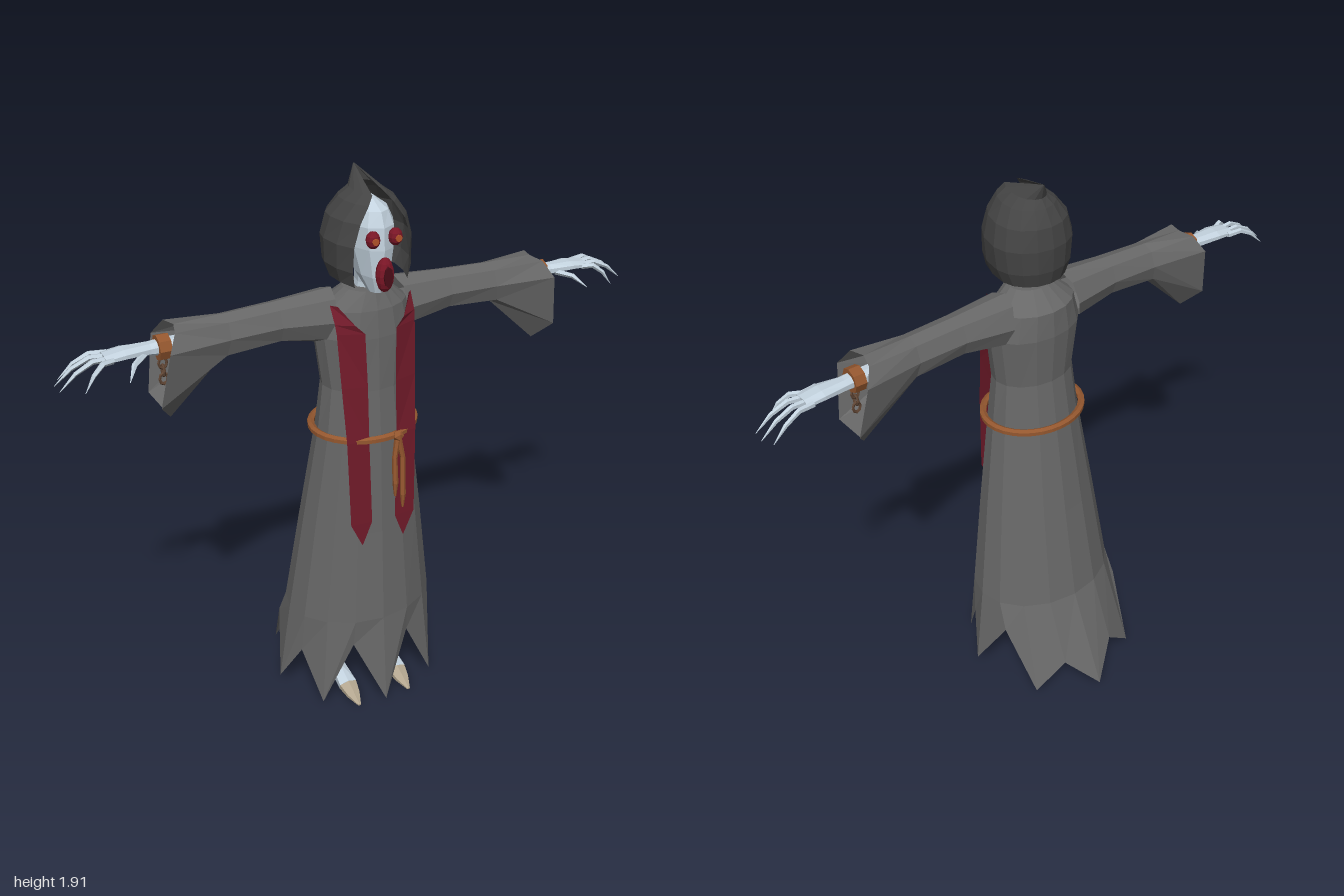
import * as THREE from 'three';

const mat = (name, color, double = false) => {
  const m = new THREE.MeshStandardMaterial({ color, flatShading: true, side: double ? THREE.DoubleSide : THREE.FrontSide });
  m.name = name;
  return m;
};
const V = (x, y, z) => new THREE.Vector3(x, y, z);

// Skin quads between successive rings of points; optional end caps
function loft(rings, { closed = true, capStart = false, capEnd = false } = {}) {
  const pos = [], n = rings[0].length;
  const tri = (...pts) => pts.forEach(p => pos.push(p.x, p.y, p.z));
  for (let i = 0; i < rings.length - 1; i++) {
    for (let j = 0; j < (closed ? n : n - 1); j++) {
      const k = (j + 1) % n;
      const a = rings[i][j], b = rings[i][k], c = rings[i + 1][k], d = rings[i + 1][j];
      tri(a, b, c);
      tri(a, c, d);
    }
  }
  const cap = (r, flip) => {
    const m = r.reduce((s, p) => s.add(p), V(0, 0, 0)).divideScalar(n);
    for (let j = 0; j < n; j++) {
      const k = (j + 1) % n;
      flip ? tri(m, r[k], r[j]) : tri(m, r[j], r[k]);
    }
  };
  if (capStart) cap(rings[0], true);
  if (capEnd) cap(rings[rings.length - 1], false);
  const g = new THREE.BufferGeometry();
  g.setAttribute('position', new THREE.Float32BufferAttribute(pos, 3));
  g.computeVertexNormals();
  return g;
}

// Horizontal oval ring with separate front and back depth
const oval = (n, y, rx, cz, front, back, yAt) => Array.from({ length: n }, (_, j) => {
  const t = j / n * Math.PI * 2, c = Math.cos(t);
  return V(rx * Math.sin(t), yAt ? yAt(j) : y, cz + c * (c > 0 ? front - cz : cz - back));
});

// Tapered tube along sections [x, y, z, width radius, height radius]
function limb(sections, n = 6) {
  const pts = sections.map(s => V(s[0], s[1], s[2]));
  return loft(sections.map((s, i) => {
    const d = pts[Math.min(i + 1, pts.length - 1)].clone().sub(pts[Math.max(i - 1, 0)]).normalize();
    const u = (Math.abs(d.y) > 0.8 ? V(0, 0, 1) : V(0, 1, 0)).cross(d).normalize();
    const v = d.clone().cross(u);
    return Array.from({ length: n }, (_, j) => {
      const t = (j + 0.5) / n * Math.PI * 2;
      return pts[i].clone().addScaledVector(u, s[3] * Math.cos(t)).addScaledVector(v, (s[4] ?? s[3]) * Math.sin(t));
    });
  }), { capStart: true, capEnd: true });
}

export function createModel() {
  const model = new THREE.Group();
  model.name = 'robedFigure';
  const robeGrey = mat('robe grey', 0x676767, true);
  const hoodGrey = mat('hood grey', 0x444444, true);
  const bone = mat('pale bone', 0xc3d2de);
  const nail = mat('toe tan', 0xb3a68f);
  const clothRed = mat('cloth red', 0x701a29, true);
  const maskRed = mat('mask red', 0x7a1626);
  const darkRed = mat('dark red', 0x4a0d18);
  const eyeOrange = mat('eye orange', 0xb5522a);
  const leather = mat('leather brown', 0x94572f);
  const iron = mat('chain brown', 0x5e4433);

  const add = (parent, name, geo, material, x = 0, y = 0, z = 0) => {
    const m = new THREE.Mesh(geo, material);
    m.name = name;
    m.position.set(x, y, z);
    parent.add(m);
    return m;
  };

  // Robe with a ragged hem of eight points
  const hem = j => j % 2 === 0 ? [0.01, 0.02, 0.045, 0.02, 0.01][Math.min(j, 16 - j) / 2]
    : [0.25, 0.2, 0.25, 0.12][(Math.min(j, 16 - j) - 1) / 2];
  const hemRing = oval(16, 0, 0.305, 0.05, 0.3, -0.305, hem);
  hemRing.forEach((p, j) => {
    if (j % 2) { p.x *= 0.9; p.z = 0.05 + (p.z - 0.05) * 0.85; }
  });
  add(model, 'robe', loft([
    hemRing,
    oval(16, 0.35, 0.265, 0.06, 0.27, -0.15),
    oval(16, 0.7, 0.218, 0.08, 0.25, -0.09),
    oval(16, 1.06, 0.165, 0.1, 0.232, -0.035),
    oval(16, 1.22, 0.147, 0.1, 0.217, -0.012),
    oval(16, 1.4, 0.17, 0.095, 0.21, -0.025),
    oval(16, 1.49, 0.145, 0.095, 0.2, -0.02),
    oval(16, 1.55, 0.075, 0.11, 0.18, 0.045),
  ], { capEnd: true }), robeGrey);

  // Rope belt and its hanging ends
  const beltPath = new THREE.CatmullRomCurve3(oval(16, 1.06, 0.178, 0.1, 0.25, -0.052), true);
  add(model, 'belt', new THREE.TubeGeometry(beltPath, 32, 0.013, 6, true), leather);
  for (const [x, end] of [[0.037, 0.84], [0.066, 0.79]]) {
    add(model, 'ropeEnd', limb([[0.05, 1.06, 0.255, 0.011], [x, 0.98, 0.26, 0.009],
      [x, end + 0.05, 0.268, 0.01], [x, end, 0.268, 0.004]]), leather);
  }
  add(model, 'beltKnot', new THREE.IcosahedronGeometry(0.02), leather, 0.05, 1.06, 0.255);

  // Hood: rows sweep round the back, leaving the face open and a peak behind
  const hoodRow = (y, rx, cz, front, back, open) => Array.from({ length: 13 }, (_, j) => {
    const t = (j / 6 - 1) * open * Math.PI / 180, c = Math.cos(t);
    return V(-rx * Math.sin(t), y, c > 0 ? cz - (cz - back) * c
      : cz + (front - cz) * c / Math.cos(open * Math.PI / 180));
  });
  add(model, 'hood', loft([
    hoodRow(1.59, 0.115, 0.1, 0.22, -0.005, 128),
    hoodRow(1.64, 0.134, 0.1, 0.225, -0.018, 132),
    hoodRow(1.72, 0.14, 0.1, 0.228, -0.022, 136),
    hoodRow(1.79, 0.122, 0.1, 0.225, -0.01, 142),
    hoodRow(1.84, 0.085, 0.11, 0.215, 0.02, 150),
    hoodRow(1.865, 0.05, 0.11, 0.2, 0.04, 152),
    hoodRow(1.915, 0.002, 0.03, 0.032, 0.028, 170),
  ], { closed: false }), hoodGrey);

  // Skull and neck
  add(model, 'skull', loft([
    oval(10, 1.555, 0.025, 0.18, 0.215, 0.15),
    oval(10, 1.61, 0.05, 0.15, 0.235, 0.09),
    oval(10, 1.7, 0.07, 0.13, 0.24, 0.05),
    oval(10, 1.77, 0.075, 0.12, 0.235, 0.04),
    oval(10, 1.815, 0.055, 0.12, 0.215, 0.06),
    oval(10, 1.84, 0.02, 0.12, 0.16, 0.09),
  ], { capStart: true, capEnd: true }), bone);
  add(model, 'neck', limb([[0, 1.5, 0.1, 0.045], [0, 1.57, 0.115, 0.036], [0, 1.66, 0.13, 0.045]], 8), bone);

  // Mouth
  const mouth = add(model, 'mouth', new THREE.SphereGeometry(1, 10, 8), maskRed, 0, 1.625, 0.242);
  mouth.scale.set(0.03, 0.056, 0.026);
  const mouthHole = add(model, 'mouthOpening', new THREE.CylinderGeometry(1, 1, 0.008, 8), darkRed, 0, 1.625, 0.265);
  mouthHole.rotation.x = Math.PI / 2;
  mouthHole.scale.set(0.015, 1, 0.034);

  const ringTilt = Math.PI / 2;
  for (const s of [1, -1]) {
    const side = new THREE.Group();
    side.name = s > 0 ? 'leftSide' : 'rightSide';
    side.scale.x = s;
    model.add(side);

    // Eye
    const eye = add(side, 'eyeSocket', new THREE.SphereGeometry(1, 10, 6), maskRed, 0.038, 1.74, 0.235);
    eye.scale.set(0.023, 0.028, 0.022);
    add(side, 'eye', new THREE.CylinderGeometry(0.011, 0.011, 0.008, 8), eyeOrange, 0.039, 1.74, 0.254).rotation.x = ringTilt;

    // Hanging stole: rows of [y, inner x, outer x, inner z, outer z]
    add(side, 'stole', loft([
      [0.67, 0.076, 0.078, 0.256, 0.256], [0.755, 0.043, 0.118, 0.258, 0.252], [1.06, 0.05, 0.125, 0.246, 0.236],
      [1.25, 0.05, 0.132, 0.233, 0.212], [1.43, 0.055, 0.138, 0.222, 0.19], [1.46, 0.085, 0.14, 0.214, 0.182],
      [1.515, 0.125, 0.142, 0.17, 0.15],
    ].map(([y, xi, xo, zi, zo]) => [V(xi, y, zi), V(xo, y, zo)]), { closed: false }), clothRed);

    // Sleeve: half sections [x, y, z offset] from top to bottom, drooping at the cuff
    const sleeve = [
      [[0.11, 1.55, 0], [0.12, 1.53, 0.055], [0.13, 1.46, 0.08], [0.15, 1.4, 0.055], [0.15, 1.37, 0]],
      [[0.3, 1.537, 0], [0.3, 1.522, 0.042], [0.3, 1.47, 0.062], [0.3, 1.42, 0.042], [0.3, 1.405, 0]],
      [[0.47, 1.53, 0], [0.47, 1.515, 0.04], [0.47, 1.465, 0.06], [0.48, 1.41, 0.045], [0.48, 1.39, 0]],
      [[0.63, 1.527, 0], [0.645, 1.522, 0.055], [0.675, 1.47, 0.09], [0.705, 1.287, 0.062], [0.66, 1.22, 0]],
    ];
    add(side, 'sleeve', loft(sleeve.map(h => [
      ...h.map(([x, y, z]) => V(x, y, 0.09 - z)),
      ...h.slice(1, 4).reverse().map(([x, y, z]) => V(x, y, 0.09 + z)),
    ])), robeGrey);

    // Forearm, palm and long curved fingers
    add(side, 'hand', limb([[0.45, 1.46, 0.09, 0.03], [0.67, 1.46, 0.087, 0.027], [0.71, 1.462, 0.085, 0.03, 0.02],
      [0.79, 1.465, 0.085, 0.042, 0.016], [0.85, 1.46, 0.085, 0.04, 0.012]], 8), bone);
    [[0.05, 0.03, 0.98], [0.073, 0.068, 1], [0.097, 0.112, 0.995], [0.117, 0.155, 0.93]].forEach(([z0, z1, tip]) => {
      const len = tip - 0.83;
      add(side, 'finger', limb([[0.83, 1.46, z0, 0.01], [0.83 + len * 0.35, 1.463, z0 + (z1 - z0) * 0.4, 0.009],
        [0.83 + len * 0.68, 1.438, z0 + (z1 - z0) * 0.75, 0.007], [tip, 1.392, z1, 0.001]], 5), bone);
    });
    add(side, 'thumb', limb([[0.73, 1.455, 0.105, 0.011], [0.775, 1.445, 0.145, 0.009], [0.805, 1.415, 0.19, 0.001]], 5), bone);

    // Wrist shackle with dangling links
    add(side, 'shackle', new THREE.CylinderGeometry(0.041, 0.041, 0.038, 8), leather, 0.668, 1.46, 0.088).rotation.z = ringTilt;
    [1.408, 1.383, 1.355].forEach((y, i) => {
      const link = add(side, 'chainLink', new THREE.TorusGeometry(0.013, 0.0045, 5, 8), iron, 0.672, y, 0.09);
      link.scale.y = 1.35;
      link.rotation.y = i % 2 ? ringTilt : 0;
    });

    // Leg, foot and pointed toes
    add(side, 'leg', limb([[0.08, 0.8, 0.08, 0.04], [0.1, 0.42, 0.1, 0.034], [0.1, 0.25, 0.095, 0.03],
      [0.1, 0.06, 0.095, 0.023]]), bone);
    add(side, 'foot', limb([[0.1, 0.05, 0.065, 0.022, 0.022], [0.1, 0.046, 0.11, 0.03, 0.032],
      [0.1, 0.028, 0.19, 0.037, 0.02]]), bone);
    add(side, 'toes', limb([[0.1, 0.028, 0.188, 0.037, 0.02], [0.1, 0.016, 0.235, 0.027, 0.013],
      [0.1, 0.005, 0.285, 0.006, 0.004]]), nail);
  }
  return model;
}
